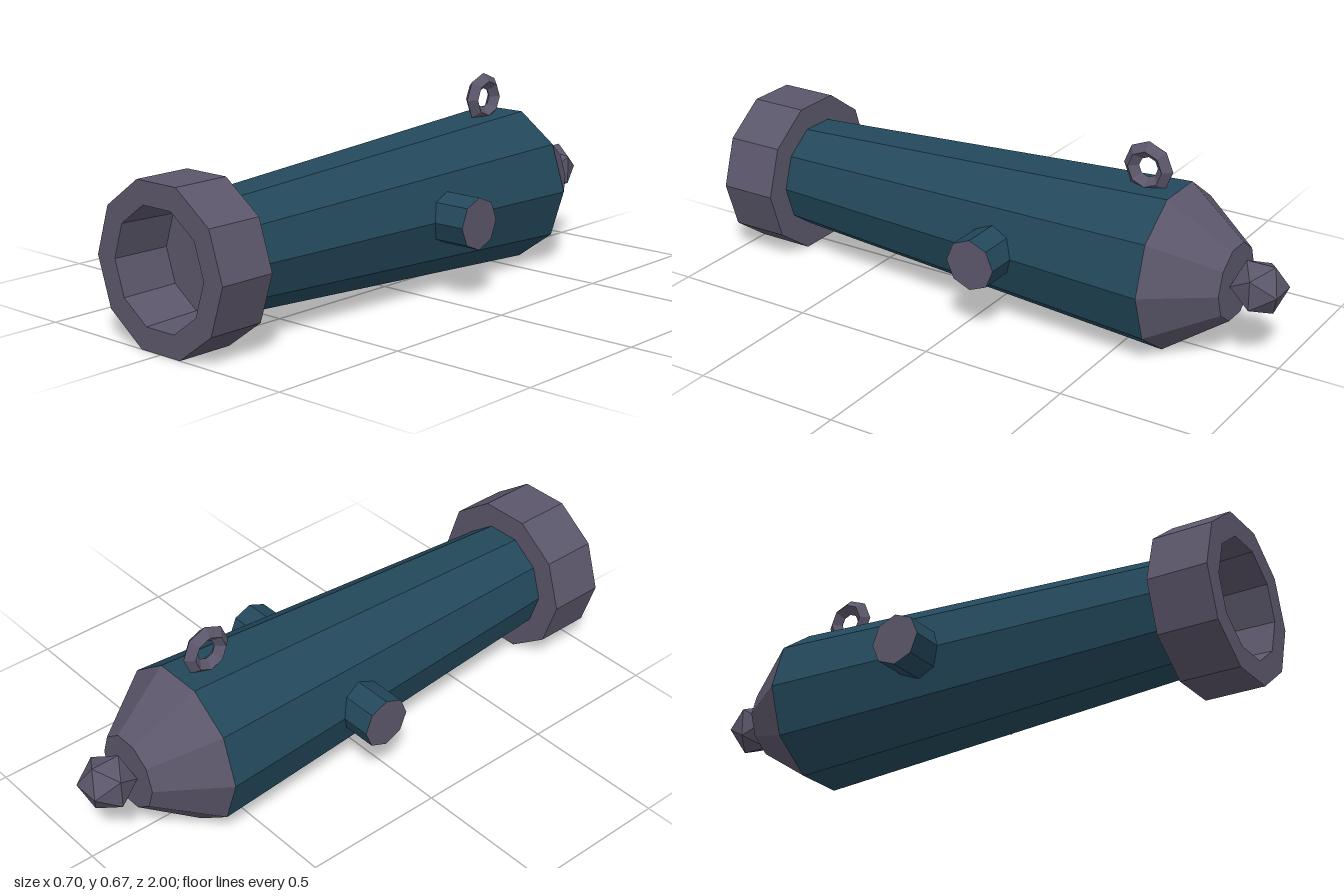
import * as THREE from 'three';

const AXIS_Y = 0.2625; // height of the barrel axis

export function createModel() {
  const model = new THREE.Group();
  model.name = 'cannon';
  const iron = new THREE.MeshStandardMaterial({ color: 0x5b566a });
  iron.name = 'grey iron';
  const teal = new THREE.MeshStandardMaterial({ color: 0x23485b });
  teal.name = 'dark teal';

  // Faceted mesh with hard edges
  const add = (name, geometry, material, x, y, z) => {
    const faceted = geometry.index ? geometry.toNonIndexed() : geometry;
    faceted.computeVertexNormals();
    if (geometry.index) geometry.groups.forEach((g) => faceted.addGroup(g.start, g.count, g.materialIndex));
    const mesh = new THREE.Mesh(faceted, material);
    mesh.name = name;
    mesh.position.set(x, y, z);
    model.add(mesh);
    return mesh;
  };

  // Ten-sided turned part along z, from [radius, z] pairs
  const turned = (name, profile, material) => {
    const points = profile.map(([r, z]) => new THREE.Vector2(r, z));
    const geometry = new THREE.LatheGeometry(points, 10, Math.PI / 2).rotateX(Math.PI / 2);
    add(name, geometry, material, 0, AXIS_Y, 0);
  };

  turned('barrel', [[0.276, -0.63], [0.19, 0.8]], teal);
  turned('breechCap', [[0, -0.84], [0.128, -0.84], [0.276, -0.63]], iron);
  // Muzzle band with its recessed bore and bore floor
  turned('muzzle', [[0.19, 0.8], [0.276, 0.8], [0.276, 1], [0.197, 1], [0.19, 0.8], [0, 0.8]], iron);

  // Side pivots: teal sides, iron ends
  for (const side of [1, -1]) {
    const pivot = new THREE.CylinderGeometry(0.0875, 0.0875, 0.2, 8).rotateZ(-side * Math.PI / 2);
    add(side > 0 ? 'leftTrunnion' : 'rightTrunnion', pivot, [teal, iron, iron], side * 0.25, AXIS_Y, -0.07);
  }

  // Lifting ring on top and knob at the back
  const ring = new THREE.TorusGeometry(0.0605, 0.027, 4, 8).rotateY(Math.PI / 2);
  add('liftingRing', ring, iron, 0, 0.579, -0.517);
  const knob = new THREE.IcosahedronGeometry(0.094, 0).rotateZ(Math.PI / 2);
  add('breechKnob', knob, iron, 0, AXIS_Y + 0.003, -0.92);

  return model;
}
